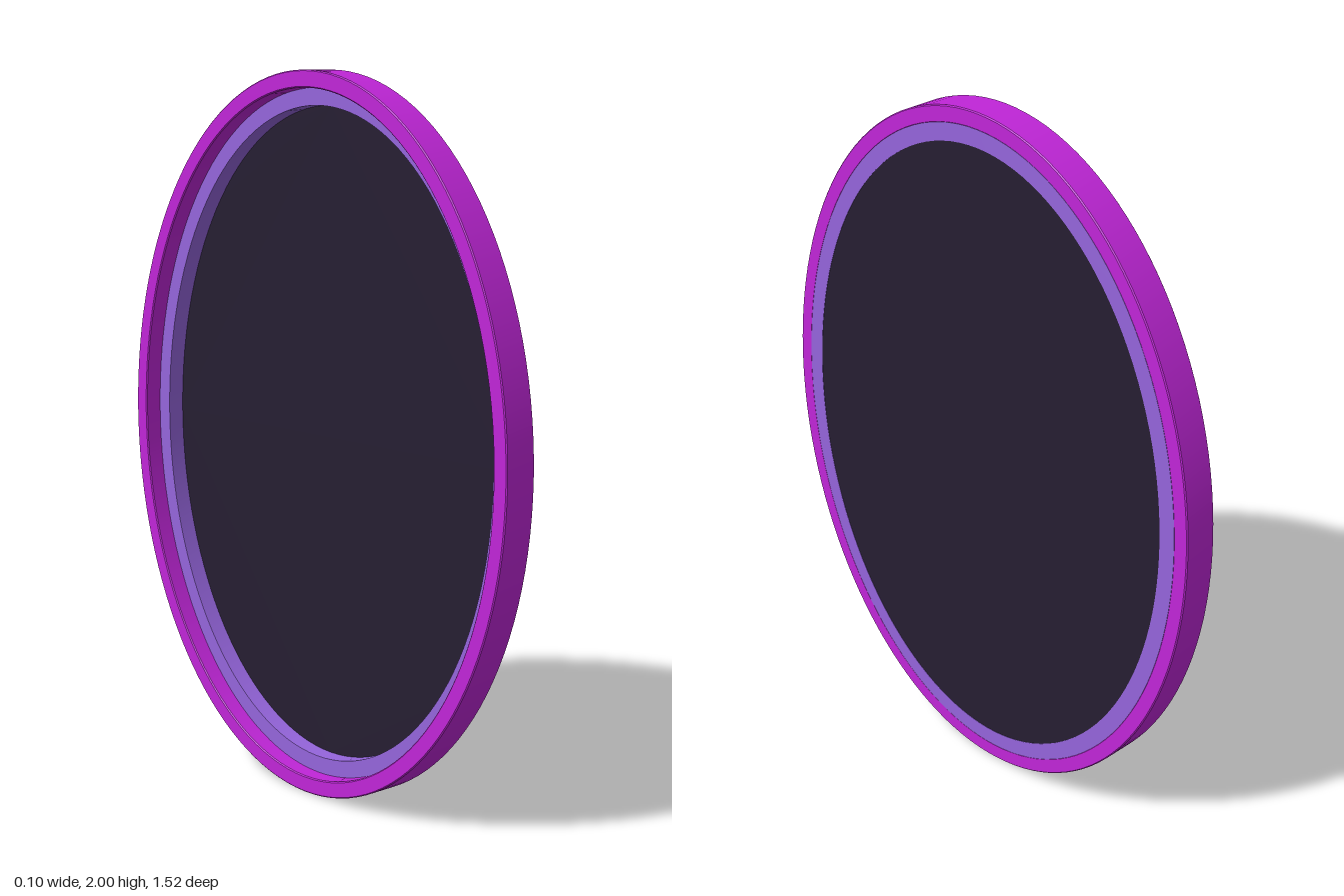
import * as THREE from 'three';
import { toCreasedNormals } from 'three/addons/utils/BufferGeometryUtils.js';

const SEGMENTS = 64;

// Ellipse outline in the shape plane: rz becomes z, ry becomes y
function ellipse(path, rz, ry) {
  path.absellipse(0, 0, rz, ry, 0, Math.PI * 2, false, 0);
  return path;
}

// Oval band from x0 to x1, with a slight bevel on its edges
function ovalRing(name, color, outer, inner, x0, x1, bevel) {
  const shape = ellipse(new THREE.Shape(), outer[0] - bevel, outer[1] - bevel);
  shape.holes.push(ellipse(new THREE.Path(), inner[0] + bevel, inner[1] + bevel));
  const geo = new THREE.ExtrudeGeometry(shape, {
    depth: x1 - x0 - 2 * bevel,
    curveSegments: SEGMENTS,
    bevelEnabled: bevel > 0,
    bevelThickness: bevel,
    bevelSize: bevel,
    bevelSegments: 1,
  });
  geo.translate(0, 0, x0 + bevel);
  geo.rotateY(Math.PI / 2);
  const mesh = new THREE.Mesh(toCreasedNormals(geo, 0.5), new THREE.MeshStandardMaterial({ color }));
  mesh.name = name;
  return mesh;
}

export function createModel() {
  const group = new THREE.Group();
  group.name = 'ovalMirror';

  // Outer frame, full depth
  const frame = ovalRing('outerFrame', 0xc026d8, [0.76, 1], [0.714, 0.953], -0.05, 0.05, 0.003);

  // Inner trim, half depth, flush with the +x face
  const trim = ovalRing('innerTrim', 0x9565dc, [0.716, 0.955], [0.667, 0.906], 0, 0.05, 0);

  // Dark pane closing the +x side, hollow behind
  const paneGeo = new THREE.ShapeGeometry(ellipse(new THREE.Shape(), 0.668, 0.907), SEGMENTS);
  paneGeo.rotateY(Math.PI / 2);
  const pane = new THREE.Mesh(paneGeo, new THREE.MeshStandardMaterial({ color: 0x261e32, side: THREE.DoubleSide }));
  pane.name = 'pane';
  pane.position.x = 0.049;

  group.add(frame, trim, pane);
  group.children.forEach((part) => { part.position.y = 1; });
  return group;
}
